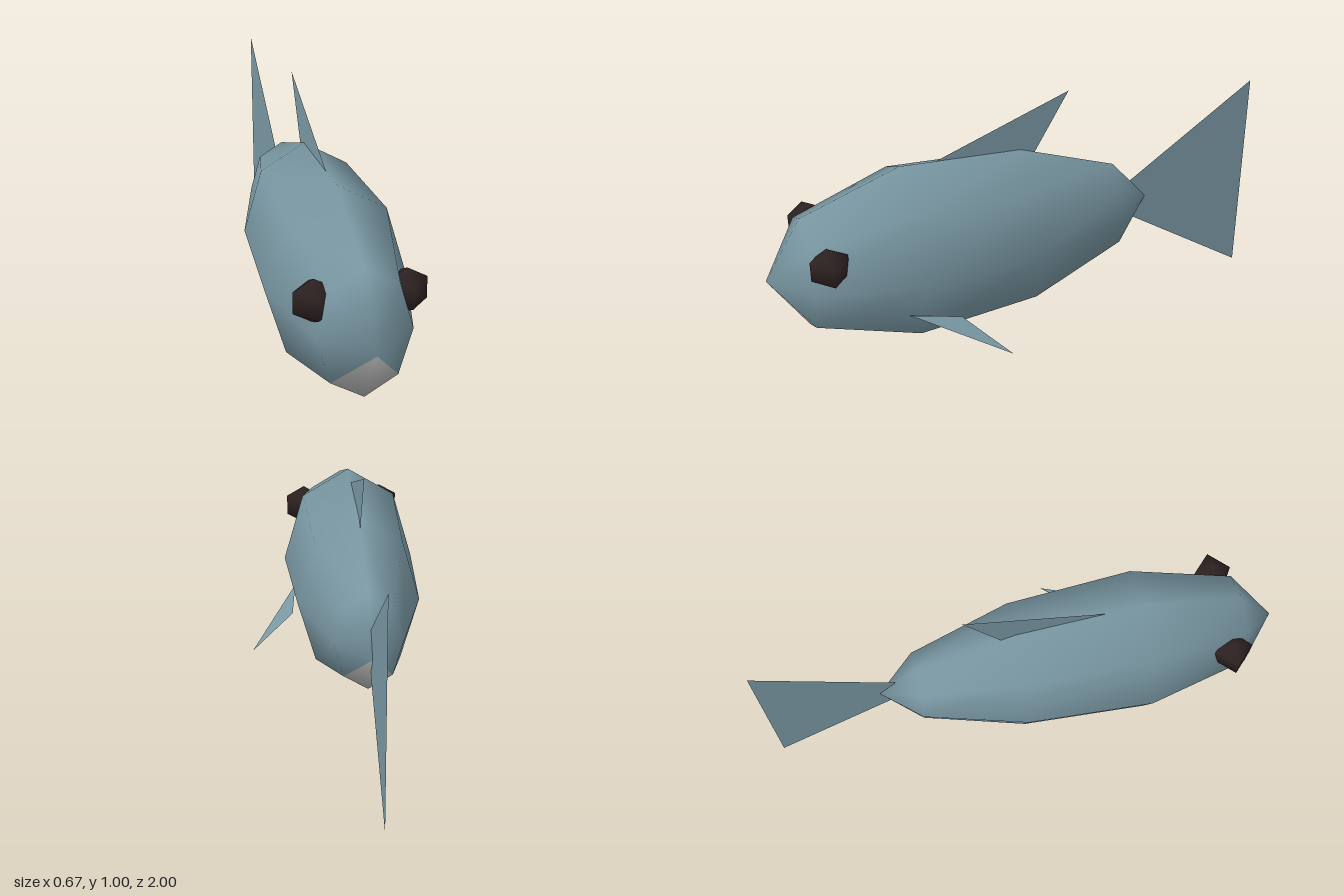
import * as THREE from 'three';
import { mergeVertices } from 'three/addons/utils/BufferGeometryUtils.js';

const CX = -0.075; // mid-plane of the body

function createMaterials() {
  const make = (name, color, side = THREE.FrontSide) => {
    const m = new THREE.MeshStandardMaterial({ color, side });
    m.name = name;
    return m;
  };
  return {
    skin: make('blue grey skin', 0x7896a1, THREE.DoubleSide),
    belly: make('pale belly', 0xb2b4b2),
    eye: make('dark eye', 0x2e2222),
  };
}

// Tapered eight-sided body; the two lowest segments form the belly group
function bodyGeometry() {
  let geo = new THREE.SphereGeometry(1, 8, 5).rotateX(Math.PI / 2);
  geo.deleteAttribute('uv');
  geo.deleteAttribute('normal');
  geo = mergeVertices(geo, 1e-4);
  const pos = geo.attributes.position;
  const back = [], belly = [];
  const idx = geo.index.array;
  for (let i = 0; i < idx.length; i += 3) {
    const tri = [idx[i], idx[i + 1], idx[i + 2]];
    const sx = tri.reduce((s, v) => s + pos.getX(v), 0);
    const sy = tri.reduce((s, v) => s + pos.getY(v), 0);
    (sy < -Math.abs(sx) ? belly : back).push(...tri);
  }
  geo.setIndex([...back, ...belly]);
  geo.addGroup(0, back.length, 0);
  geo.addGroup(back.length, belly.length, 1);
  // Taper towards the tail
  for (let i = 0; i < pos.count; i++) {
    const z = pos.getZ(i);
    const h = 0.383 + 0.065 * z - 0.022 * z * z;
    pos.setXYZ(i, CX + pos.getX(i) * h * 0.69, 0.44 + pos.getY(i) * h, 0.22 + 0.78 * z);
  }
  geo.computeVertexNormals();
  return geo;
}

// Flat triangular fin
function finGeometry(a, b, c) {
  const geo = new THREE.BufferGeometry();
  geo.setAttribute('position', new THREE.Float32BufferAttribute([...a, ...b, ...c], 3));
  geo.computeVertexNormals();
  return geo;
}

export function createModel() {
  const mats = createMaterials();
  const group = new THREE.Group();
  group.name = 'fish';
  const add = (name, geo, mat) => {
    const mesh = new THREE.Mesh(geo, mat);
    mesh.name = name;
    group.add(mesh);
    return mesh;
  };

  add('body', bodyGeometry(), [mats.skin, mats.belly]);

  // Eyes
  for (const [name, s] of [['leftEye', 1], ['rightEye', -1]]) {
    add(name, new THREE.SphereGeometry(0.083, 4, 3), mats.eye)
      .position.set(CX + s * 0.163, 0.558, 0.79);
  }

  // Fins
  add('tailFin', finGeometry([CX, 0.446, -0.37], [CX, 0.88, -1], [CX, 0.005, -1]), mats.skin);
  add('dorsalFin', finGeometry([CX, 0.81, 0.32], [CX, 0.71, -0.05], [CX, 1, -0.215]), mats.skin);
  add('sideFin', finGeometry([0.143, 0.296, 0.513], [0.165, 0.25, 0.315], [0.335, 0.153, 0.17]), mats.skin);

  return group;
}
